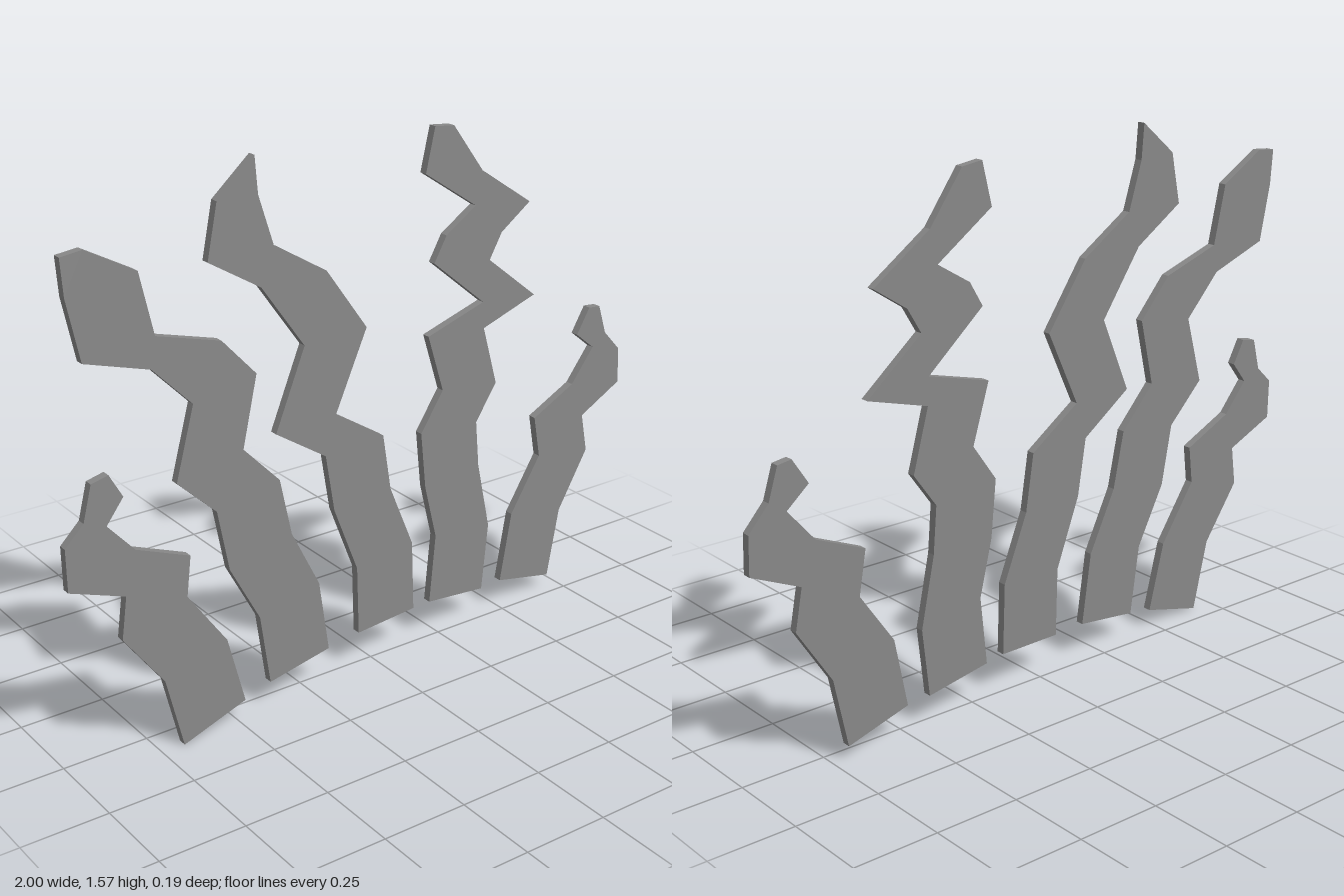
import * as THREE from 'three';

const THICKNESS = 0.025;
const material = new THREE.MeshStandardMaterial({ color: 0x888888, flatShading: true });

// Flat plate cut from an outline (x, y pairs), laid on a slightly turned, backward leaning plane.
function makeStrand(name, zOffset, outline) {
  const points = [];
  for (let i = 0; i < outline.length; i += 2) {
    points.push(new THREE.Vector2(outline[i], outline[i + 1]));
  }
  const geometry = new THREE.ExtrudeGeometry(new THREE.Shape(points), {
    depth: THICKNESS, bevelEnabled: false,
  });
  geometry.translate(0, 0, -THICKNESS / 2);
  const p = geometry.attributes.position;
  for (let i = 0; i < p.count; i++) {
    p.setZ(i, p.getZ(i) + zOffset - 0.075 * p.getX(i) - 0.02 * p.getY(i));
  }
  geometry.computeVertexNormals();
  const mesh = new THREE.Mesh(geometry, material);
  mesh.name = name;
  return mesh;
}

export function createModel() {
  const group = new THREE.Group();
  group.name = 'wavyStrands';

  // Each outline goes up the +x edge and back down the -x edge.
  group.add(makeStrand('outerRightStrand', 0.024, [
    -0.682, 0, -0.476, 0.058, -0.528, 0.263, -0.648, 0.433, -0.632, 0.548,
    -0.797, 0.618, -0.877, 0.708, -0.823, 0.773, -0.862, 0.843, -0.914, 0.833,
    -0.942, 0.735, -1, 0.683, -1, 0.563, -0.834, 0.498, -0.853, 0.378, -0.732, 0.213,
  ]));

  group.add(makeStrand('innerRightStrand', 0.02, [
    -0.386, 0.078, -0.178, 0.108, -0.207, 0.323, -0.297, 0.503, -0.332, 0.673,
    -0.447, 0.793, -0.396, 0.993, -0.502, 1.108, -0.7, 1.167, -0.739, 1.343,
    -0.888, 1.426, -0.953, 1.42, -0.947, 1.318, -0.912, 1.146, -0.717, 1.083,
    -0.598, 0.961, -0.66, 0.758, -0.54, 0.643, -0.507, 0.463, -0.414, 0.288,
  ]));

  group.add(makeStrand('middleStrand', 0.014, [
    -0.063, 0.113, 0.146, 0.12, 0.142, 0.333, 0.062, 0.528, 0.037, 0.698,
    -0.13, 0.806, -0.018, 1.03, -0.152, 1.218, -0.323, 1.323, -0.367, 1.463,
    -0.374, 1.566, -0.495, 1.469, -0.53, 1.318, -0.367, 1.218, -0.232, 1.028,
    -0.335, 0.803, -0.169, 0.693, -0.143, 0.523, -0.065, 0.319,
  ]));

  group.add(makeStrand('innerLeftStrand', 0.01, [
    0.212, 0.116, 0.423, 0.089, 0.449, 0.293, 0.406, 0.501, 0.396, 0.64,
    0.473, 0.743, 0.423, 0.923, 0.623, 0.981, 0.443, 1.123, 0.489, 1.196,
    0.598, 1.266, 0.412, 1.389, 0.304, 1.533, 0.235, 1.541, 0.201, 1.415,
    0.387, 1.293, 0.277, 1.228, 0.232, 1.156, 0.419, 1.003, 0.21, 0.947,
    0.264, 0.773, 0.182, 0.661, 0.197, 0.49, 0.237, 0.323,
  ]));

  group.add(makeStrand('outerLeftStrand', 0.009, [
    0.502, 0.089, 0.706, 0.041, 0.753, 0.25, 0.866, 0.421, 0.844, 0.541,
    1, 0.613, 0.998, 0.723, 0.935, 0.79, 0.906, 0.881, 0.862, 0.886,
    0.812, 0.811, 0.882, 0.755, 0.796, 0.656, 0.638, 0.587, 0.66, 0.458, 0.547, 0.298,
  ]));

  return group;
}
